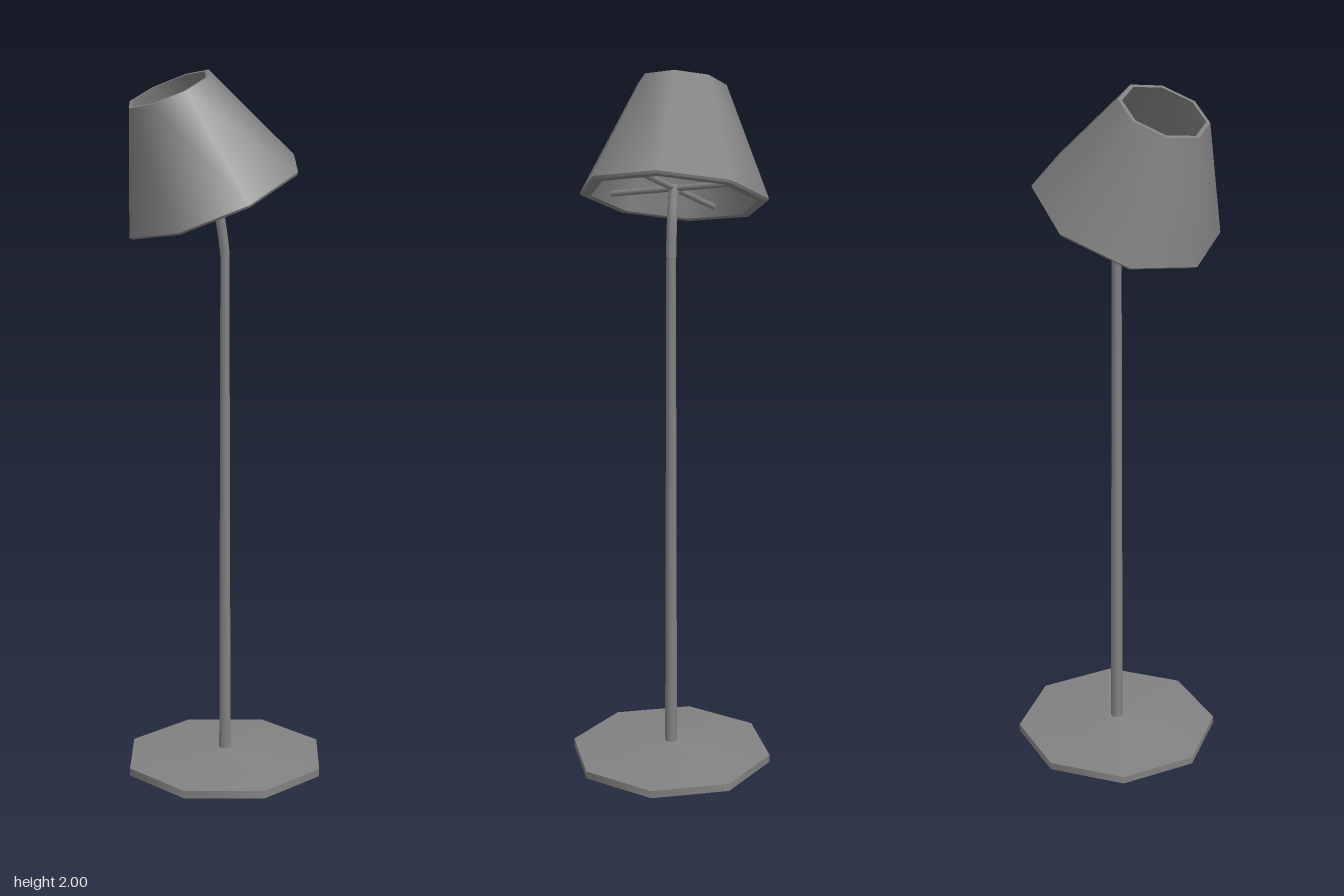
import * as THREE from 'three';
import { mergeGeometries } from 'three/addons/utils/BufferGeometryUtils.js';

const SIDES = 8;
const darkGrey = new THREE.MeshStandardMaterial({ color: 0x828282 });

function addMesh(parent, name, geometry) {
  const mesh = new THREE.Mesh(geometry, darkGrey);
  mesh.name = name;
  parent.add(mesh);
  return mesh;
}

// Lathe that is smooth around its axis but sharp between profile segments
function creasedLathe(profile) {
  const pts = profile.map(([r, y]) => new THREE.Vector2(r, y));
  const bands = pts.slice(1).map((p, i) => new THREE.LatheGeometry([pts[i], p], SIDES));
  return mergeGeometries(bands);
}

export function createModel() {
  const lamp = new THREE.Group();
  lamp.name = 'deskLamp';

  // Octagonal foot with a shallow conical top
  addMesh(lamp, 'base', creasedLathe([[0, 0], [0.295, 0], [0.295, 0.022], [0.016, 0.046], [0, 0.046]]));

  // Slender stem, tapering gently upwards
  addMesh(lamp, 'stem', creasedLathe([[0.018, 0.04], [0.0135, 1.5]]));

  // Bent neck that reaches the middle of the shade
  const bend = new THREE.CatmullRomCurve3([
    new THREE.Vector3(0, 1.495, 0),
    new THREE.Vector3(-0.013, 1.59, 0),
    new THREE.Vector3(-0.041, 1.68, 0),
  ]);
  addMesh(lamp, 'neck', new THREE.TubeGeometry(bend, 4, 0.0145, SIDES));

  // Tilted head: origin at the centre of the shade's lower opening
  const head = new THREE.Group();
  head.name = 'head';
  head.position.set(-0.034, 1.654, 0);
  head.rotation.z = THREE.MathUtils.degToRad(23.4);
  lamp.add(head);

  // Thick-walled tapered shade with a bevelled lower rim, open at both ends
  addMesh(head, 'shade', creasedLathe([
    [0.233, -0.002], [0.26, -0.002], [0.265, 0.005], [0.125, 0.3225], [0.114, 0.3225], [0.233, -0.002],
  ]));

  // Four round spokes holding the shade, aimed at the middles of its facets
  const spokes = new THREE.Group();
  spokes.name = 'spokes';
  head.add(spokes);
  for (let i = 0; i < 4; i++) {
    const arm = new THREE.Group();
    arm.name = 'spokeArm';
    arm.rotation.y = Math.PI / 8 * 3 + i * Math.PI / 2;
    const spoke = addMesh(arm, 'spoke', new THREE.CylinderGeometry(0.009, 0.009, 0.215, SIDES));
    spoke.position.set(0.1075, 0.026, 0);
    spoke.rotation.z = Math.PI / 2;
    spokes.add(arm);
  }

  // Small hub capping the neck
  addMesh(head, 'hub', new THREE.CylinderGeometry(0.016, 0.016, 0.02, SIDES)).position.y = 0.024;

  return lamp;
}
